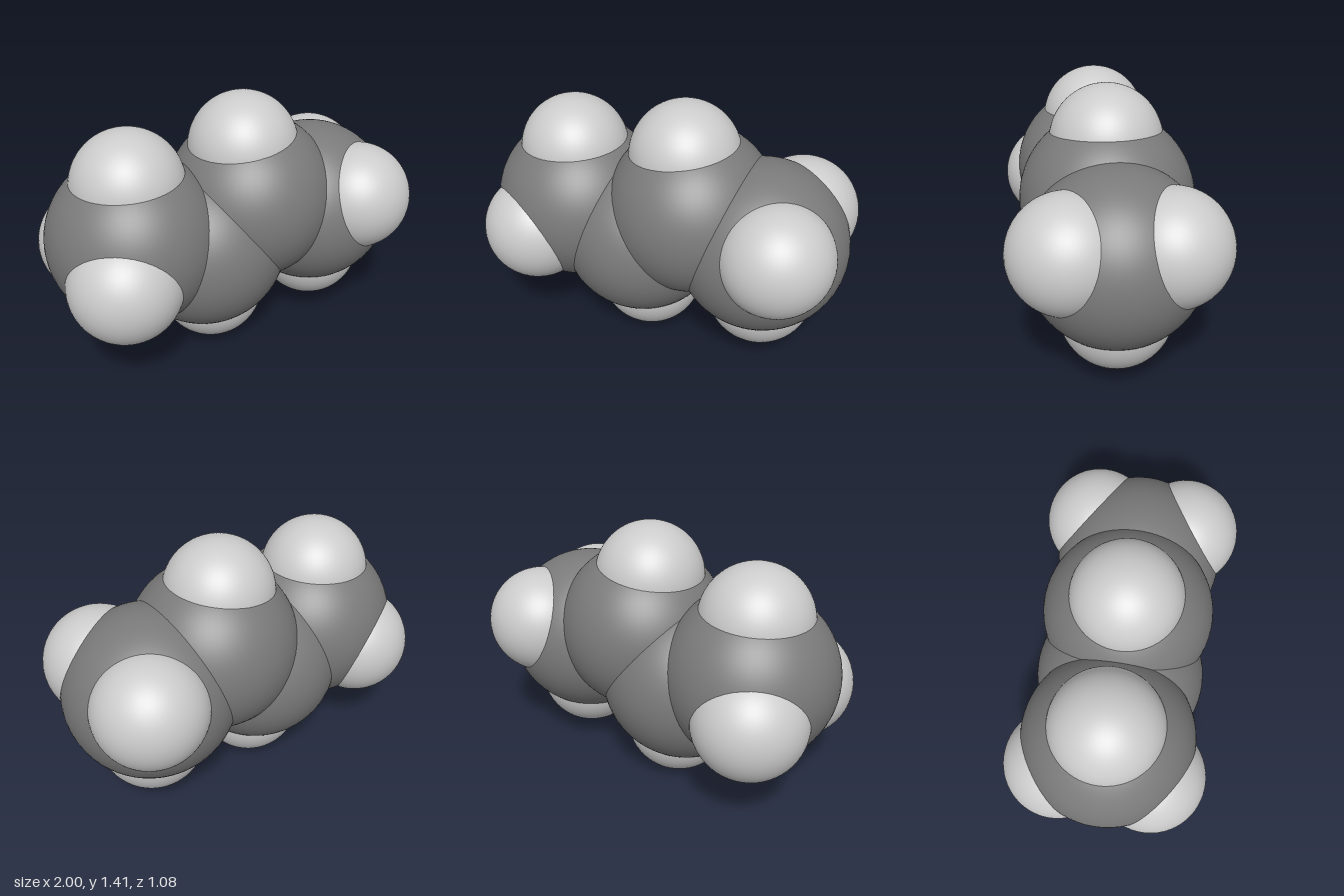
import * as THREE from 'three';

const CENTRE_Y = 0.705;
const LARGE_R = 0.46;
const SMALL_R = 0.295;

export function createModel() {
  const model = new THREE.Group();
  model.name = 'spaceFillingMolecule';

  const dark = new THREE.MeshStandardMaterial({ color: 0x7a7a7a });
  const light = new THREE.MeshStandardMaterial({ color: 0xcccccc });
  const largeSphere = new THREE.SphereGeometry(LARGE_R, 64, 48);
  const smallSphere = new THREE.SphereGeometry(SMALL_R, 64, 48);

  // Positions are relative to the centre of the molecule (right half, +x)
  const atoms = [
    ['innerCarbon', largeSphere, dark, [0.145, 0.109, 0]],
    ['endCarbon', largeSphere, dark, [0.54, -0.02, 0]],
    ['innerHydrogen', smallSphere, light, [0.10, 0.41, 0]],
    ['endHydrogenInPlane', smallSphere, light, [0.555, -0.325, 0]],
    ['endHydrogenFront', smallSphere, light, [0.687, 0.085, 0.245]],
    ['endHydrogenBack', smallSphere, light, [0.687, 0.085, -0.245]],
  ];

  // The two halves are a half turn apart about the z axis
  for (const [side, s] of [['left', 1], ['right', -1]]) {
    const half = new THREE.Group();
    half.name = side + 'Half';
    half.position.y = CENTRE_Y;
    for (const [name, geometry, material, [x, y, z]] of atoms) {
      const atom = new THREE.Mesh(geometry, material);
      atom.name = name;
      atom.position.set(s * x, s * y, z);
      half.add(atom);
    }
    model.add(half);
  }
  return model;
}
